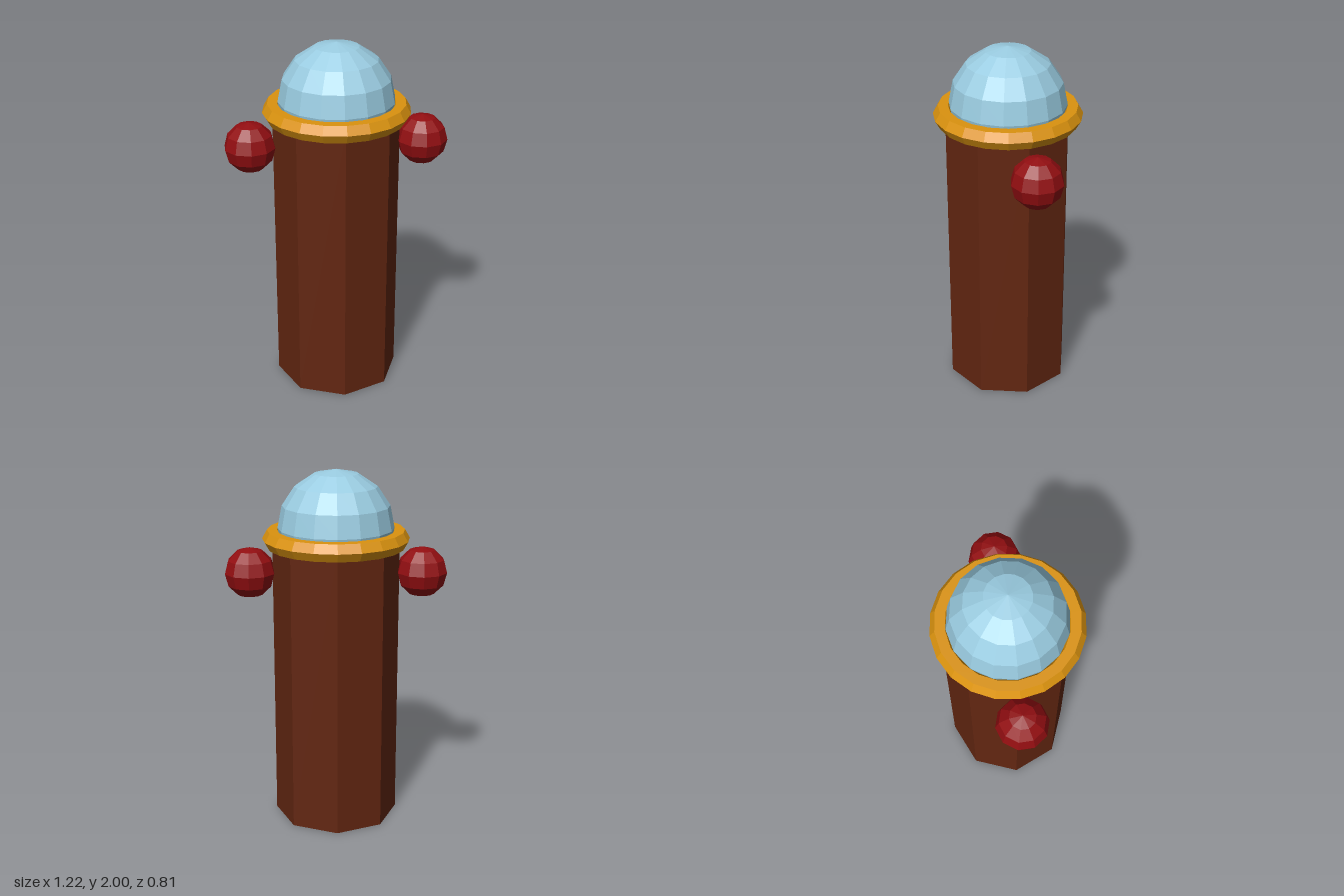
import * as THREE from 'three';

const material = (name, color) => {
  const m = new THREE.MeshStandardMaterial({ color, flatShading: true });
  m.name = name;
  return m;
};

export function createModel() {
  const group = new THREE.Group();
  group.name = 'hydrant';

  const brown = material('brown', 0x622611);
  const orange = material('orange', 0xdb930f);
  const blue = material('light blue', 0x9acce1);
  const red = material('dark red', 0x920e11);

  const add = (name, geometry, mat, x, y) => {
    const mesh = new THREE.Mesh(geometry, mat);
    mesh.name = name;
    mesh.position.set(x, y, 0);
    group.add(mesh);
  };

  // Octagonal post
  add('post', new THREE.CylinderGeometry(0.35, 0.35, 1.62, 8), brown, 0, 0.81);

  // Collar with a hexagonal section
  add('collar', new THREE.TorusGeometry(0.35, 0.055, 6, 20).rotateX(Math.PI / 2), orange, 0, 1.6225);

  // Domed cap, sunk into the collar
  add('dome', new THREE.SphereGeometry(0.32, 16, 8), blue, 0, 1.68);

  // Round side outlets, with a flat facet facing outwards
  for (const [name, side] of [['leftOutlet', 1], ['rightOutlet', -1]]) {
    add(name, new THREE.SphereGeometry(0.142, 10, 6).rotateY(Math.PI / 2), red, side * 0.476, 1.43);
  }

  return group;
}
